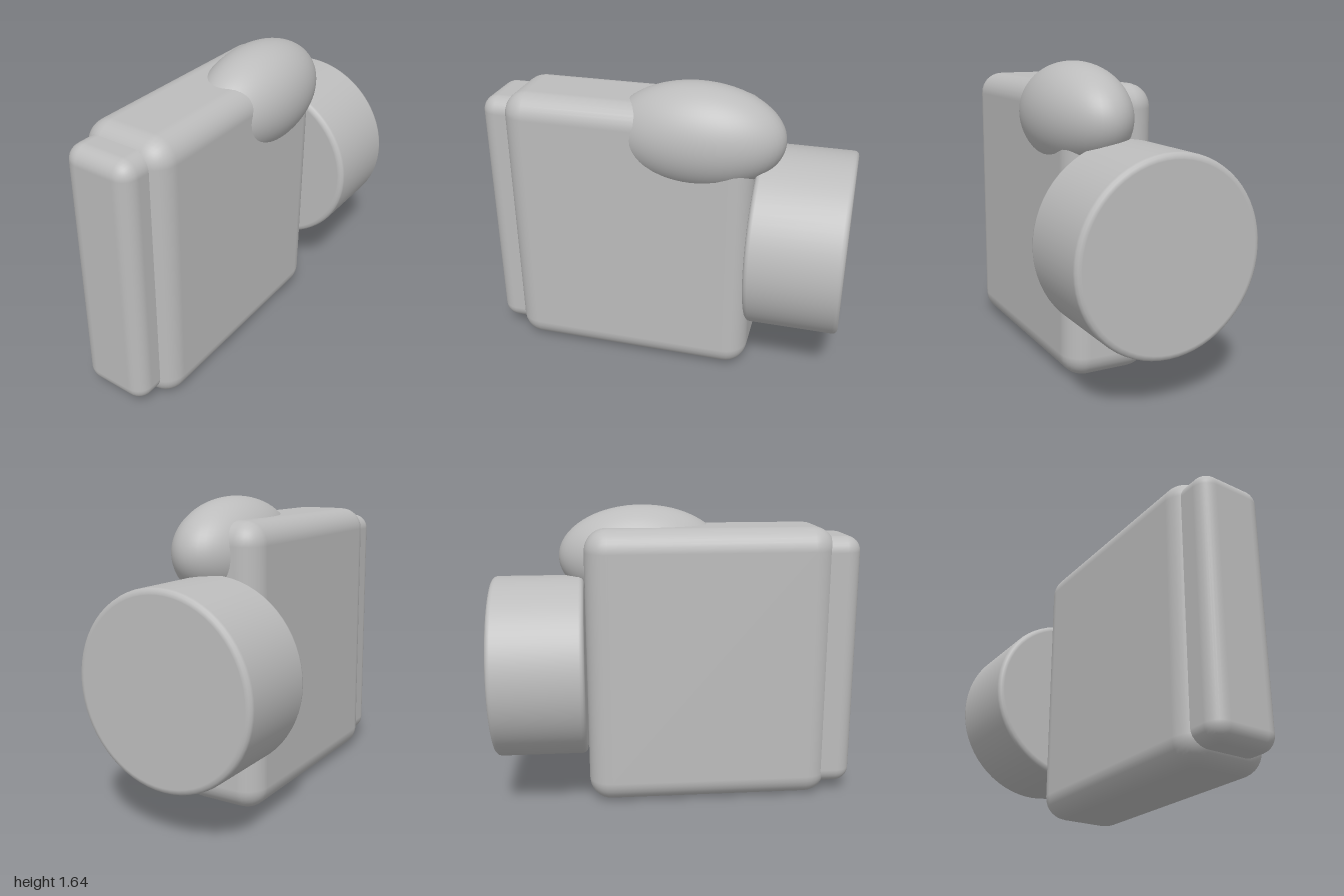
import * as THREE from 'three';
import { RoundedBoxGeometry } from 'three/addons/geometries/RoundedBoxGeometry.js';

export function createModel() {
  const group = new THREE.Group();
  const grey = new THREE.MeshStandardMaterial({ color: 0xbcbcbc });
  grey.name = 'plain grey';

  const add = (name, geometry) => {
    const mesh = new THREE.Mesh(geometry, grey);
    mesh.name = name;
    group.add(mesh);
  };

  // Soft-edged box given by its lowest and highest corners
  const softBox = ([x0, y0, z0], [x1, y1, z1], radius) =>
    new RoundedBoxGeometry(x1 - x0, y1 - y0, z1 - z0, 4, radius)
      .translate((x0 + x1) / 2, (y0 + y1) / 2, (z0 + z1) / 2);

  // Drum along z with small rounded rims; extra points keep the flats crisp
  const drum = (radius, z0, z1, rim, y) => {
    const profile = [new THREE.Vector2(0, z0), new THREE.Vector2(radius - rim - 0.006, z0)];
    for (const [z, start] of [[z0 + rim, -Math.PI / 2], [z1 - rim, 0]]) {
      for (let i = 0; i <= 3; i++) {
        const a = start + (i / 3) * Math.PI / 2;
        profile.push(new THREE.Vector2(radius - rim + rim * Math.cos(a), z + rim * Math.sin(a)));
      }
    }
    profile.push(new THREE.Vector2(radius - rim - 0.006, z1), new THREE.Vector2(0, z1));
    return new THREE.LatheGeometry(profile, 64).rotateX(Math.PI / 2).translate(0, y, 0);
  };

  // Main body, narrower front plate and rear drum
  add('body', softBox([-0.213, 0, -0.5], [0.284, 1.535, 0.86], 0.125));
  add('frontPlate', softBox([-0.178, 0.06, 0.55], [0.212, 1.485, 1], 0.085));
  add('rearDrum', drum(0.497, -1, -0.503, 0.027, 0.772));

  // Egg-shaped knob sunk into the upper rear edge
  add('topKnob', new THREE.SphereGeometry(1, 48, 32)
    .scale(0.25, 0.28, 0.46)
    .translate(0.105, 1.362, -0.18));

  return group;
}
